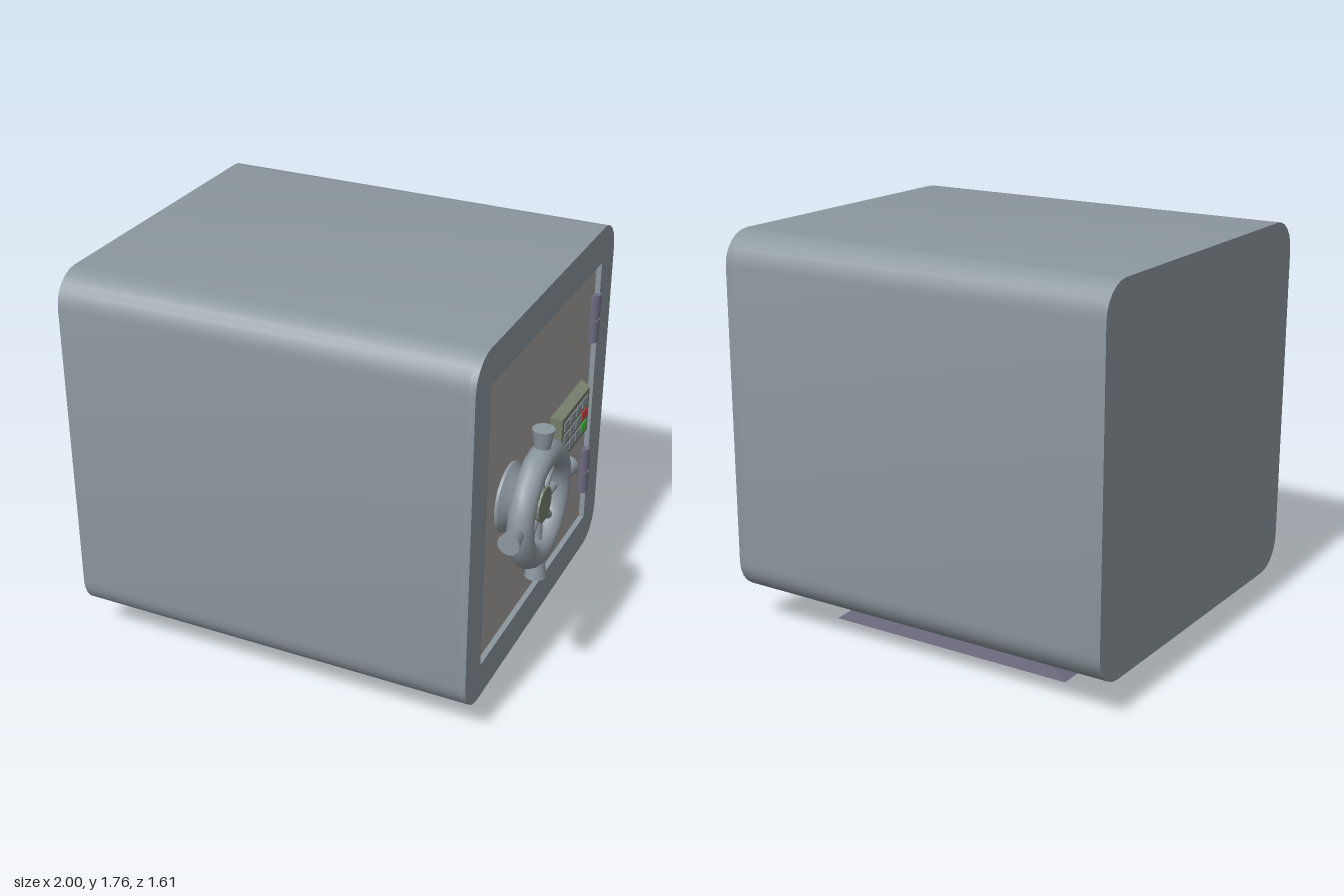
import * as THREE from 'three';
import { toCreasedNormals } from 'three/addons/utils/BufferGeometryUtils.js';

const mat = (color, flatShading = false) => new THREE.MeshStandardMaterial({ color, flatShading });
const steel = mat(0x8c979e);
const doorGrey = mat(0xa5a3a2);
const purple = mat(0x6f6c82);
const purpleFlat = mat(0x6f6c82, true);
const olive = mat(0x78826f, true);
const red = mat(0xdd4444);
const green = mat(0x44cc44);

function add(parent, name, geometry, material, x = 0, y = 0, z = 0) {
  const mesh = new THREE.Mesh(geometry, material);
  mesh.name = name;
  mesh.position.set(x, y, z);
  parent.add(mesh);
  return mesh;
}

// Four-sided frustum standing on y = 0, w by d at the base, scaled by ratio at the top
function frustum(w, d, h, ratio) {
  const r = Math.SQRT1_2;
  return new THREE.CylinderGeometry(r * ratio, r, 1, 4)
    .rotateY(Math.PI / 4).scale(w, h, d).translate(0, h / 2, 0);
}

// Square with rounded corners
function roundedSquare(half, r) {
  const s = new THREE.Shape(), c = half - r;
  s.absarc(c, c, r, 0, Math.PI / 2);
  s.absarc(-c, c, r, Math.PI / 2, Math.PI);
  s.absarc(-c, -c, r, Math.PI, Math.PI * 1.5);
  s.absarc(c, -c, r, Math.PI * 1.5, Math.PI * 2);
  s.closePath();
  return s;
}

// Extrude along +x
function extrudeX(shape, depth) {
  const g = new THREE.ExtrudeGeometry(shape, { depth, bevelEnabled: false, curveSegments: 3 });
  return toCreasedNormals(g.rotateY(Math.PI / 2), 0.7);
}

// Hand wheel built facing +z, turned to face +x
function createWheel() {
  const wheel = new THREE.Group();
  wheel.name = 'handWheel';
  add(wheel, 'wheelRim', new THREE.TorusGeometry(0.216, 0.056, 12, 20), steel);

  // Stepped mounting flange and shaft
  const profile = [[0.15, -0.14], [0.15, -0.125], [0.13, -0.11], [0.085, -0.068],
    [0.055, -0.068], [0.055, -0.02]].map(([r, y]) => new THREE.Vector2(r, y));
  const flange = new THREE.LatheGeometry(profile, 20).rotateX(Math.PI / 2);
  add(wheel, 'wheelFlange', toCreasedNormals(flange, 0.5), steel);
  add(wheel, 'wheelHub', new THREE.CylinderGeometry(0.076, 0.076, 0.05, 16).rotateX(Math.PI / 2), olive);

  for (let i = 0; i < 8; i++) {
    const spoke = new THREE.CylinderGeometry(0.019, 0.019, 0.13, 8)
      .translate(0, 0.115, 0).rotateZ(i * Math.PI / 4);
    add(wheel, 'wheelSpoke', spoke, steel);
  }
  for (let i = 0; i < 4; i++) {
    const grip = new THREE.CylinderGeometry(0.047, 0.032, 0.09, 12)
      .translate(0, 0.299, 0).rotateZ(i * Math.PI / 2);
    add(wheel, 'wheelGrip', grip, steel);
  }
  wheel.rotation.y = Math.PI / 2;
  wheel.position.set(0.944, 0.955, 0.35);
  return wheel;
}

// Keypad with bevelled housing and 4 x 3 buttons
function createKeypad() {
  const pad = new THREE.Group();
  pad.name = 'keypad';
  add(pad, 'keypadHousing', frustum(0.25, 0.41, 0.055, 0.86).rotateZ(-Math.PI / 2), olive);
  const button = new THREE.BoxGeometry(0.012, 0.042, 0.068);
  for (let row = 0; row < 3; row++) {
    for (let col = 0; col < 4; col++) {
      const color = col < 3 || row === 0 ? steel : row === 1 ? red : green;
      add(pad, 'keypadButton', button, color, 0.053, (1 - row) * 0.061, (1.5 - col) * 0.077);
    }
  }
  pad.position.set(0.8, 0.957, -0.337);
  return pad;
}

// Two knuckles on a pin
function createHinge(y) {
  const hinge = new THREE.Group();
  hinge.name = 'hinge';
  const knuckle = new THREE.CylinderGeometry(0.034, 0.034, 0.107, 12);
  for (const s of [-1, 1]) add(hinge, 'hingeKnuckle', knuckle, purple, 0, s * 0.0595, 0);
  add(hinge, 'hingePin', new THREE.CylinderGeometry(0.027, 0.027, 0.2, 12), purple);
  hinge.position.set(0.807, y, -0.635);
  return hinge;
}

export function createModel() {
  const safe = new THREE.Group();
  safe.name = 'safe';

  // Body block and the raised frame around the door
  const rimDepth = 0.03;
  add(safe, 'body', extrudeX(roundedSquare(0.805, 0.142), 1.83 - rimDepth), steel, -1, 0.957, 0);
  const frame = roundedSquare(0.805, 0.142);
  const h = 0.645;
  frame.holes.push(new THREE.Path([[-h, -h], [-h, h], [h, h], [h, -h]].map(p => new THREE.Vector2(...p))));
  add(safe, 'doorFrame', extrudeX(frame, rimDepth), steel, 0.83 - rimDepth, 0.957, 0);

  // Door, set back from the frame
  add(safe, 'door', new THREE.BoxGeometry(0.04, 1.285, 1.285), doorGrey, 0.787, 0.957, 0);

  safe.add(createWheel(), createKeypad(), createHinge(1.343), createHinge(0.572));

  // Skid feet
  for (const s of [1, -1]) {
    add(safe, 'foot', frustum(1.19, 0.197, 0.152, 0.66), purpleFlat, -0.085, 0, s * 0.43);
  }
  return safe;
}
